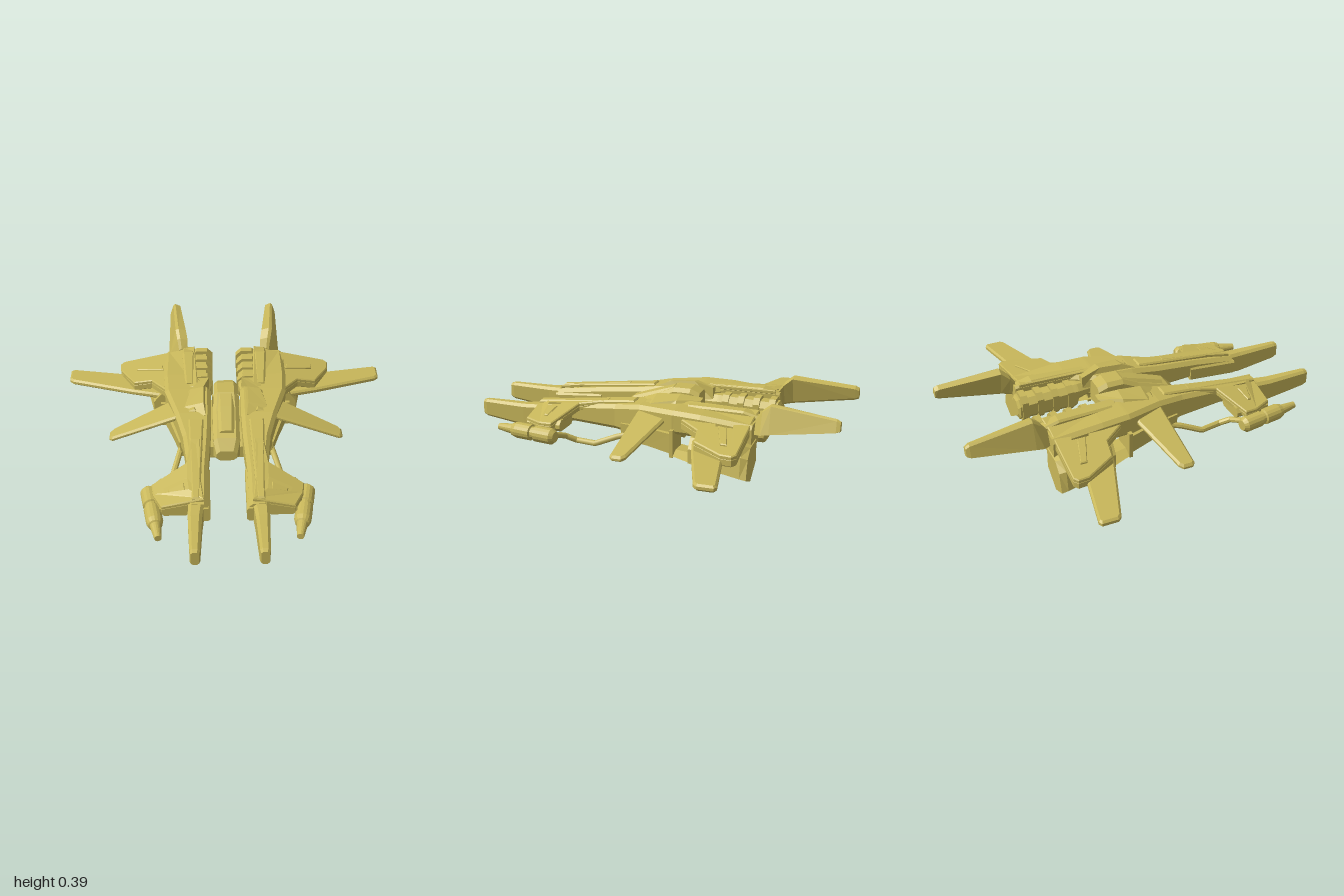
import * as THREE from 'three';

const paint = new THREE.MeshStandardMaterial({ color: 0xc8b75a, flatShading: true });
const smoothPaint = new THREE.MeshStandardMaterial({ color: 0xc8b75a });

// Swap two corners of every triangle
function flip(geo) {
  const p = geo.attributes.position;
  const a = new THREE.Vector3(), b = new THREE.Vector3();
  for (let i = 0; i < p.count; i += 3) {
    a.fromBufferAttribute(p, i + 1);
    b.fromBufferAttribute(p, i + 2);
    p.setXYZ(i + 1, b.x, b.y, b.z);
    p.setXYZ(i + 2, a.x, a.y, a.z);
  }
  geo.computeVertexNormals();
  return geo;
}

// Closed solid through equal-length loops of [x, y, z] points
function loft(loops) {
  const out = [], n = loops[0].length, last = loops[loops.length - 1];
  const tri = (a, b, c) => out.push(...a, ...b, ...c);
  for (let s = 0; s + 1 < loops.length; s++) for (let i = 0; i < n; i++) {
    const j = (i + 1) % n, A = loops[s], B = loops[s + 1];
    tri(A[i], A[j], B[j]);
    tri(A[i], B[j], B[i]);
  }
  for (let i = 1; i + 1 < n; i++) {
    tri(loops[0][0], loops[0][i + 1], loops[0][i]);
    tri(last[0], last[i], last[i + 1]);
  }
  const geo = new THREE.BufferGeometry();
  geo.setAttribute('position', new THREE.Float32BufferAttribute(out, 3));
  geo.computeVertexNormals();
  // Turn the solid right side out when its signed volume is negative
  let volume = 0;
  const v = [0, 1, 2].map(() => new THREE.Vector3());
  for (let i = 0; i < out.length; i += 9) {
    v.forEach((p, k) => p.fromArray(out, i + 3 * k));
    volume += v[0].dot(v[1].clone().cross(v[2]));
  }
  return volume < 0 ? flip(geo) : geo;
}

// Chamfered rectangle across z
const ring = (z, x0, x1, y0, y1, c = 0.02) => [
  [x0 + c, y0, z], [x1 - c, y0, z], [x1, y0 + c, z], [x1, y1 - c, z],
  [x1 - c, y1, z], [x0 + c, y1, z], [x0, y1 - c, z], [x0, y0 + c, z]];
const at = (z, pts) => pts.map(([x, y]) => [x, y, z]);

// Bevelled plate from an [x, z] outline; top(x, z) gives its upper surface
function slab(outline, thick, top, hole, bevel = 0.008) {
  const pts = list => list.map(([x, z]) => new THREE.Vector2(x, -z));
  const shape = new THREE.Shape(pts(outline));
  if (hole) shape.holes.push(new THREE.Path(pts(hole)));
  const geo = new THREE.ExtrudeGeometry(shape, {
    depth: thick - 2 * bevel, bevelThickness: bevel, bevelSize: bevel, bevelOffset: -bevel, bevelSegments: 1,
  }).rotateX(-Math.PI / 2);
  const p = geo.attributes.position;
  for (let i = 0; i < p.count; i++) p.setY(i, p.getY(i) - thick + bevel + top(p.getX(i), p.getZ(i)));
  geo.computeVertexNormals();
  return geo;
}

const box = (x0, x1, y0, y1, z0, z1) =>
  new THREE.BoxGeometry(x1 - x0, y1 - y0, z1 - z0).translate((x0 + x1) / 2, (y0 + y1) / 2, (z0 + z1) / 2);

export function createModel() {
  const model = new THREE.Group();
  model.name = 'fighterCraft';
  const add = (name, geo, mat = paint) => {
    const mesh = new THREE.Mesh(geo, mat);
    mesh.name = name;
    model.add(mesh);
  };
  // One copy on each side
  const pair = (name, geo, mat) => {
    const flat = geo.index ? geo.toNonIndexed() : geo;
    const other = flat.clone().scale(-1, 1, 1);
    add(name + 'Left', geo, mat);
    add(name + 'Right', flip(other), mat);
  };

  // Central cockpit and its belly bridge
  add('cockpit', loft([
    ring(0.25, -0.055, 0.055, 0.14, 0.2), ring(0.2, -0.07, 0.07, 0.11, 0.25),
    ring(0.02, -0.07, 0.07, 0.11, 0.31), ring(-0.07, -0.065, 0.065, 0.12, 0.352),
    ring(-0.16, -0.065, 0.065, 0.14, 0.352), ring(-0.21, -0.06, 0.06, 0.21, 0.33)]));
  add('canopyGlass', loft([
    ring(0.17, -0.045, 0.045, 0.23, 0.275), ring(0.02, -0.05, 0.05, 0.25, 0.325), ring(-0.06, -0.05, 0.05, 0.3, 0.35)]));
  add('bellyBridge', loft([
    ring(0.2, -0.11, 0.11, 0.12, 0.19), ring(0.1, -0.13, 0.13, 0.1, 0.22), ring(-0.15, -0.13, 0.13, 0.1, 0.24)]));
  for (const z of [0.16, 0.04, -0.1]) add('canopyRib', box(-0.073, 0.073, 0.14, 0.272 - z * 0.35, z - 0.008, z + 0.008));

  // Long side hulls
  pair('hull', loft([
    ring(0.68, 0.1, 0.2, 0.13, 0.22), ring(0.45, 0.1, 0.2, 0.15, 0.25), ring(0.2, 0.085, 0.23, 0.145, 0.28),
    ring(0.05, 0.08, 0.27, 0.13, 0.305), ring(-0.15, 0.08, 0.33, 0.13, 0.315), ring(-0.16, 0.08, 0.33, 0.19, 0.315),
    ring(-0.3, 0.16, 0.34, 0.19, 0.31), ring(-0.57, 0.17, 0.34, 0.16, 0.285)]));
  pair('hullSpine', slab([[0.14, 0.66], [0.18, 0.66], [0.2, 0.1], [0.12, 0.1]], 0.04, (x, z) => 0.317 - z * 0.11));
  pair('innerCheek', loft([ring(0.69, 0.09, 0.13, 0.12, 0.2, 0.01), ring(0.41, 0.09, 0.13, 0.14, 0.22, 0.01)]));

  // Forward prongs
  pair('nosePronge'.slice(0, 9), loft([
    ring(1, 0.145, 0.185, 0.13, 0.21, 0.01), ring(0.98, 0.14, 0.19, 0.12, 0.215, 0.012),
    ring(0.75, 0.13, 0.2, 0.09, 0.215, 0.015), ring(0.66, 0.12, 0.2, 0.1, 0.22, 0.015)]));

  // Forward shoulder plates: base with an open frame on top
  const frontTop = (x, z) => 0.268 - (z - 0.45) * 0.12 - Math.max(0, x - 0.18) * 0.32;
  const frontOutline = [[0.14, 0.25], [0.19, 0.25], [0.21, 0.41], [0.385, 0.5], [0.375, 0.57], [0.33, 0.665], [0.12, 0.665], [0.14, 0.5]];
  pair('frontPlate', slab(frontOutline, 0.035, (x, z) => frontTop(x, z) - 0.012));
  pair('frontPlateFrame', slab(frontOutline, 0.022, frontTop,
    [[0.19, 0.6], [0.2, 0.51], [0.33, 0.545], [0.315, 0.585]], 0.005));
  pair('frontPlateInlay', slab([[0.215, 0.59], [0.22, 0.535], [0.3, 0.555], [0.295, 0.578]], 0.014, (x, z) => frontTop(x, z) - 0.006, null, 0.004));
  pair('podMount', loft([ring(0.66, 0.19, 0.34, 0.13, 0.19), ring(0.46, 0.19, 0.36, 0.14, 0.2)]));

  // Gun pods
  const podProfile = [[0, 0], [0.028, 0], [0.043, 0.02], [0.043, 0.12], [0.034, 0.125], [0.034, 0.145], [0.043, 0.15],
    [0.043, 0.24], [0.036, 0.265], [0.028, 0.27], [0.026, 0.29], [0.018, 0.36], [0, 0.36]];
  const pod = new THREE.LatheGeometry(podProfile.map(p => new THREE.Vector2(...p)), 16)
    .rotateX(Math.PI / 2).rotateY(-0.17).translate(0.405, 0.13, 0.465);
  pair('gunPod', pod);

  // Supply pipes from hull to pods
  const path = new THREE.CurvePath();
  const pipe = [[0.24, 0.13, 0.12], [0.255, 0.115, 0.18], [0.285, 0.075, 0.29], [0.26, 0.072, 0.41], [0.29, 0.1, 0.46], [0.37, 0.13, 0.5]]
    .map(p => new THREE.Vector3(...p));
  for (let i = 0; i + 1 < pipe.length; i++) path.add(new THREE.LineCurve3(pipe[i], pipe[i + 1]));
  pair('supplyPipe', new THREE.TubeGeometry(path, 30, 0.016, 8), smoothPaint);

  // Hub cowlings over the wing roots
  pair('hubCowling', loft([
    at(0.07, [[0.1, 0.24], [0.24, 0.22], [0.23, 0.27], [0.11, 0.305]]),
    at(0, [[0.09, 0.25], [0.25, 0.24], [0.22, 0.31], [0.12, 0.335]]),
    at(-0.13, [[0.09, 0.25], [0.25, 0.25], [0.19, 0.33], [0.12, 0.345]]),
    at(-0.245, [[0.09, 0.26], [0.15, 0.26], [0.13, 0.32], [0.09, 0.325]])]));

  // Swept down middle wings
  pair('middleWing', slab([[0.16, -0.1], [0.3, -0.11], [0.61, -0.01], [0.63, 0.01], [0.63, 0.06], [0.615, 0.075], [0.25, 0.055], [0.16, 0.04]],
    0.03, x => 0.32 - (x - 0.16) * 0.35, null, 0.01));

  // Rear plates: base, frame and inlay
  const rearTop = x => 0.325 - Math.max(0, x - 0.15) * 0.235;
  const rearOutline = [[0.17, -0.57], [0.26, -0.56], [0.58, -0.56], [0.6, -0.54], [0.595, -0.48], [0.51, -0.325], [0.41, -0.31], [0.31, -0.17], [0.15, -0.17]];
  pair('rearPlate', slab(rearOutline, 0.045, x => rearTop(x) - 0.014));
  pair('rearPlateFrame', slab(rearOutline, 0.024, rearTop, [[0.31, -0.37], [0.33, -0.48], [0.55, -0.52], [0.555, -0.45]], 0.005));
  pair('rearPlateInlay', slab([[0.345, -0.4], [0.355, -0.45], [0.5, -0.49], [0.5, -0.455]], 0.02, x => rearTop(x) - 0.004, null, 0.004));
  pair('rearSpine', loft([ring(-0.2, 0.17, 0.22, 0.25, 0.32, 0.01), ring(-0.5, 0.17, 0.24, 0.25, 0.325, 0.01), ring(-0.59, 0.18, 0.24, 0.2, 0.3, 0.01)]));

  // Flat rear wings
  pair('rearWing', slab([[0.36, -0.27], [0.36, -0.5], [0.6, -0.495], [0.87, -0.55], [0.89, -0.54], [0.89, -0.455], [0.87, -0.435], [0.52, -0.315]],
    0.034, x => 0.195 - (x - 0.36) * 0.025, null, 0.01));

  // Leaning tail fins, bevelled at the end
  const fin = (z, y0, y1, x0, x1, w) => at(z, [[x1 - w, y0], [x1, y0 + 0.012], [x0 + w, y1 - 0.008], [x0 + w * 0.7, y1], [x0, y1 - 0.012], [x1 - w - 0.008, y0 + 0.01]]);
  pair('tailFin', loft([
    fin(-0.57, 0.215, 0.3, 0.21, 0.29, 0.05), fin(-0.605, 0.222, 0.35, 0.21, 0.315, 0.06),
    fin(-0.65, 0.232, 0.388, 0.22, 0.32, 0.06), fin(-0.98, 0.28, 0.355, 0.258, 0.318, 0.042), fin(-1, 0.288, 0.345, 0.265, 0.312, 0.035)]));

  // Ribbed inner engines
  pair('innerEngine', loft([ring(-0.2, 0.09, 0.2, 0.2, 0.28, 0.03), ring(-0.27, 0.075, 0.2, 0.19, 0.285, 0.03),
    ring(-0.28, 0.075, 0.2, 0.15, 0.285, 0.03), ring(-0.6, 0.075, 0.2, 0.15, 0.27, 0.03), ring(-0.61, 0.09, 0.19, 0.165, 0.255, 0.03)]));
  for (let i = 0; i < 4; i++) {
    const z = -0.3 - i * 0.085;
    pair('engineRib', loft([ring(z, 0.068, 0.19, 0.143, 0.292, 0.03), ring(z - 0.035, 0.068, 0.19, 0.143, 0.292, 0.03)]));
  }

  // Lower nacelles: front intake block, thin keel and faceted exhaust
  pair('lowerIntake', loft([
    at(0.16, [[0.16, 0.13], [0.2, 0.095], [0.24, 0.1], [0.25, 0.19], [0.16, 0.2]]),
    at(0, [[0.16, 0.11], [0.24, 0.085], [0.29, 0.1], [0.3, 0.2], [0.16, 0.22]]),
    at(-0.15, [[0.18, 0.1], [0.29, 0.065], [0.34, 0.09], [0.35, 0.2], [0.18, 0.22]])]));
  pair('intakeCollar', box(0.22, 0.355, 0.075, 0.22, -0.165, -0.145));
  pair('lowerKeel', loft([
    at(-0.14, [[0.2, 0.1], [0.3, 0.065], [0.345, 0.085], [0.3, 0.105]]),
    at(-0.3, [[0.23, 0.09], [0.33, 0.045], [0.4, 0.07], [0.33, 0.1]])]));
  pair('lowerExhaust', loft([
    at(-0.26, [[0.24, 0.1], [0.33, 0.048], [0.4, 0.075], [0.4, 0.15], [0.36, 0.2], [0.25, 0.21]]),
    at(-0.54, [[0.25, 0.075], [0.36, 0.01], [0.45, 0.045], [0.43, 0.15], [0.39, 0.2], [0.25, 0.21]]),
    at(-0.575, [[0.25, 0.075], [0.36, 0.003], [0.45, 0.04], [0.42, 0.14], [0.37, 0.185], [0.25, 0.19]])]));

  // Slim skids beneath the belly
  pair('bellySkid', loft([ring(0.1, 0.115, 0.145, 0.09, 0.16, 0.008), ring(-0.13, 0.115, 0.145, 0.072, 0.16, 0.008)]));

  const bounds = new THREE.Box3().setFromObject(model);
  model.position.y = -bounds.min.y;
  return model;
}
